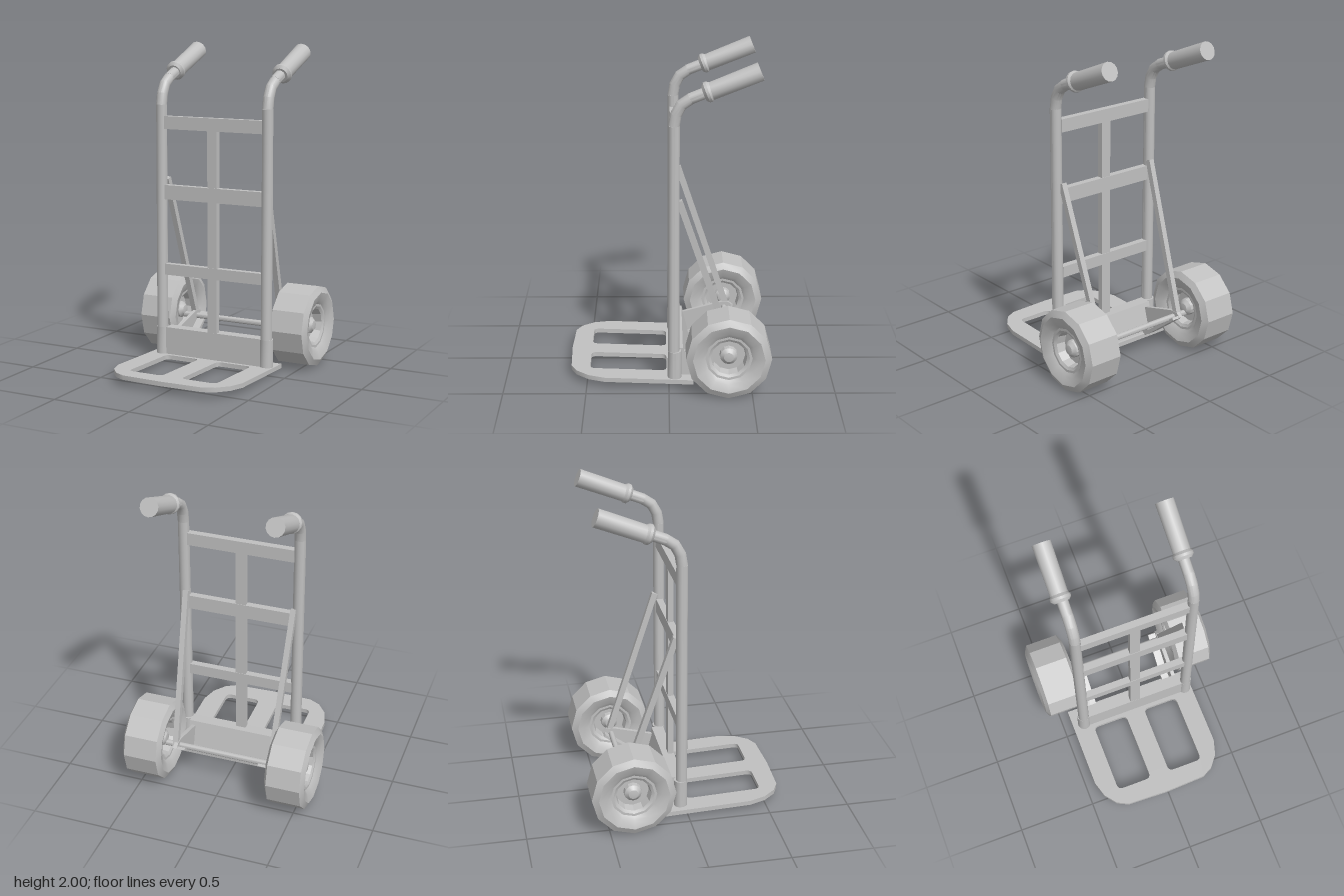
import * as THREE from 'three';
import { toCreasedNormals } from 'three/addons/utils/BufferGeometryUtils.js';

export function createModel() {
  const model = new THREE.Group();
  model.name = 'handTruck';
  const metal = new THREE.MeshStandardMaterial({ color: 0xc0c0c0 });
  metal.name = 'lightGrey';

  const V = (x, y, z) => new THREE.Vector3(x, y, z);
  // Round tubes shade smoothly; coarser corners stay sharp
  const add = (name, geometry) => {
    const mesh = new THREE.Mesh(toCreasedNormals(geometry, 0.5), metal);
    mesh.name = name;
    model.add(mesh);
    return mesh;
  };
  const box = (name, x0, x1, y0, y1, z0, z1) =>
    add(name, new THREE.BoxGeometry(x1 - x0, y1 - y0, z1 - z0))
      .position.set((x0 + x1) / 2, (y0 + y1) / 2, (z0 + z1) / 2);
  // Place a mesh built along y so that it runs from a to b
  const along = (mesh, a, b) => {
    mesh.position.copy(a).add(b).multiplyScalar(0.5);
    mesh.quaternion.setFromUnitVectors(V(0, 1, 0), b.clone().sub(a).normalize());
    return mesh;
  };
  const rod = (name, a, b, r0, r1 = r0) =>
    along(add(name, new THREE.CylinderGeometry(r1, r0, a.distanceTo(b), 14)), a, b);
  const shapeOf = pts => new THREE.Shape(pts.map(p => new THREE.Vector2(p[0], p[1])));
  // Side profile in (z, y), extruded across x
  const sideExtrude = (name, pts, x0, x1) => {
    const g = new THREE.ExtrudeGeometry(shapeOf(pts), { depth: x1 - x0, bevelEnabled: false });
    g.rotateY(-Math.PI / 2).translate(x1, 0, 0);
    return add(name, g);
  };

  // Toe plate: outline in (x, z) with two rounded openings, gently rising to the front
  const plate = shapeOf([
    [-0.44, -0.15], [0.41, -0.15], [0.41, 0.39], [0.38, 0.49], [0.32, 0.565], [0.25, 0.6],
    [-0.015, 0.61], [-0.28, 0.6], [-0.35, 0.565], [-0.41, 0.49], [-0.44, 0.39],
  ]);
  for (const [x0, x1] of [[-0.31, -0.08], [0.05, 0.28]]) {
    const z0 = 0.015, z1 = 0.485, r = 0.035;
    const hole = new THREE.Path();
    hole.moveTo(x0 + r, z0);
    hole.lineTo(x1 - r, z0).quadraticCurveTo(x1, z0, x1, z0 + r);
    hole.lineTo(x1, z1 - r).quadraticCurveTo(x1, z1, x1 - r, z1);
    hole.lineTo(x0 + r, z1).quadraticCurveTo(x0, z1, x0, z1 - r);
    hole.lineTo(x0, z0 + r).quadraticCurveTo(x0, z0, x0 + r, z0);
    plate.holes.push(hole);
  }
  const plateGeo = new THREE.ExtrudeGeometry(plate, { depth: 0.028, bevelEnabled: false, curveSegments: 4 });
  plateGeo.rotateX(Math.PI / 2);
  const pos = plateGeo.attributes.position;
  for (let i = 0; i < pos.count; i++) pos.setY(i, pos.getY(i) + 0.042 + 0.036 * (pos.getZ(i) + 0.15));
  add('toePlate', plateGeo);

  // Lower back panel with a sloping rear
  sideExtrude('lowerPanel', [
    [-0.135, 0.035], [-0.01, 0.04], [-0.01, 0.22], [-0.085, 0.22],
  ], -0.33, 0.33);

  // Crossbars and the centre upright
  for (const [y0, y1] of [[0.56, 0.63], [1.04, 1.13], [1.48, 1.56]])
    box('crossbar', -0.335, 0.335, y0, y1, -0.05, -0.008);
  box('centreUpright', -0.035, 0.03, 0.2, 1.5, -0.047, -0.011);

  // Axle
  rod('axle', V(-0.46, 0.225, -0.36), V(0.46, 0.225, -0.36), 0.018);

  // Wheel cross-section (radius, distance along the axle), outer side up
  const half = [[0, 0.085], [0.03, 0.08], [0.052, 0.06], [0.055, 0.03], [0.1, 0.03],
    [0.108, 0.085], [0.125, 0.095], [0.14, 0.095], [0.165, 0.112], [0.215, 0.126], [0.255, 0.105]];
  const profile = [
    ...half.map(([r, y]) => new THREE.Vector2(r, -y)),
    ...half.slice().reverse().map(([r, y]) => new THREE.Vector2(r, y)),
  ];

  for (const s of [-1, 1]) {
    // Upright tube, foot socket, bend and neck
    const x = s * 0.363;
    rod('uprightTube', V(x, 0.05, -0.028), V(x, 1.63, -0.028), 0.035, 0.034);
    rod('footSocket', V(x, 0.045, -0.034), V(x, 0.22, -0.034), 0.042, 0.041);
    const bend = new THREE.QuadraticBezierCurve3(V(x, 1.63, -0.028), V(x, 1.755, -0.035), V(x, 1.79, -0.125));
    add('handleBend', new THREE.TubeGeometry(bend, 3, 0.034, 14));
    rod('handleNeck', V(x, 1.788, -0.12), V(x, 1.835, -0.235), 0.034);

    // Grip with a flared collar
    const gx = s * 0.367;
    rod('grip', V(gx, 1.822, -0.21), V(gx, 1.948, -0.52), 0.053, 0.056);
    const collar = add('gripCollar', new THREE.LatheGeometry([
      [0, -0.025], [0.045, -0.025], [0.062, -0.008], [0.062, 0.008], [0.05, 0.025], [0, 0.025],
    ].map(p => new THREE.Vector2(p[0], p[1])), 14));
    along(collar, V(gx, 1.821, -0.2), V(gx, 1.838, -0.242));

    // Diagonal brace from upright to axle
    const top = V(s * 0.343, 1.17, -0.06), low = V(s * 0.31, 0.225, -0.378);
    along(add('brace', new THREE.BoxGeometry(0.034, top.distanceTo(low), 0.036)), low, top);

    // Axle bracket: upright side plate plus an inward flange beneath
    const span = (a, b) => [Math.min(s * a, s * b), Math.max(s * a, s * b)];
    sideExtrude('axleBracket', [
      [-0.08, 0.19], [-0.08, 0.04], [-0.15, 0.03], [-0.2, 0.065], [-0.42, 0.235], [-0.39, 0.26], [-0.34, 0.26],
    ], ...span(0.29, 0.315));
    sideExtrude('bracketFlange', [
      [-0.1, 0.06], [-0.15, 0.03], [-0.2, 0.065], [-0.415, 0.232], [-0.405, 0.245], [-0.19, 0.085],
    ], ...span(0.24, 0.295));

    // Wheel
    const wheel = add('wheel', new THREE.LatheGeometry(profile, 12));
    wheel.rotation.z = -s * Math.PI / 2;
    wheel.position.set(s * 0.459, 0.255, -0.355);
  }
  return model;
}
